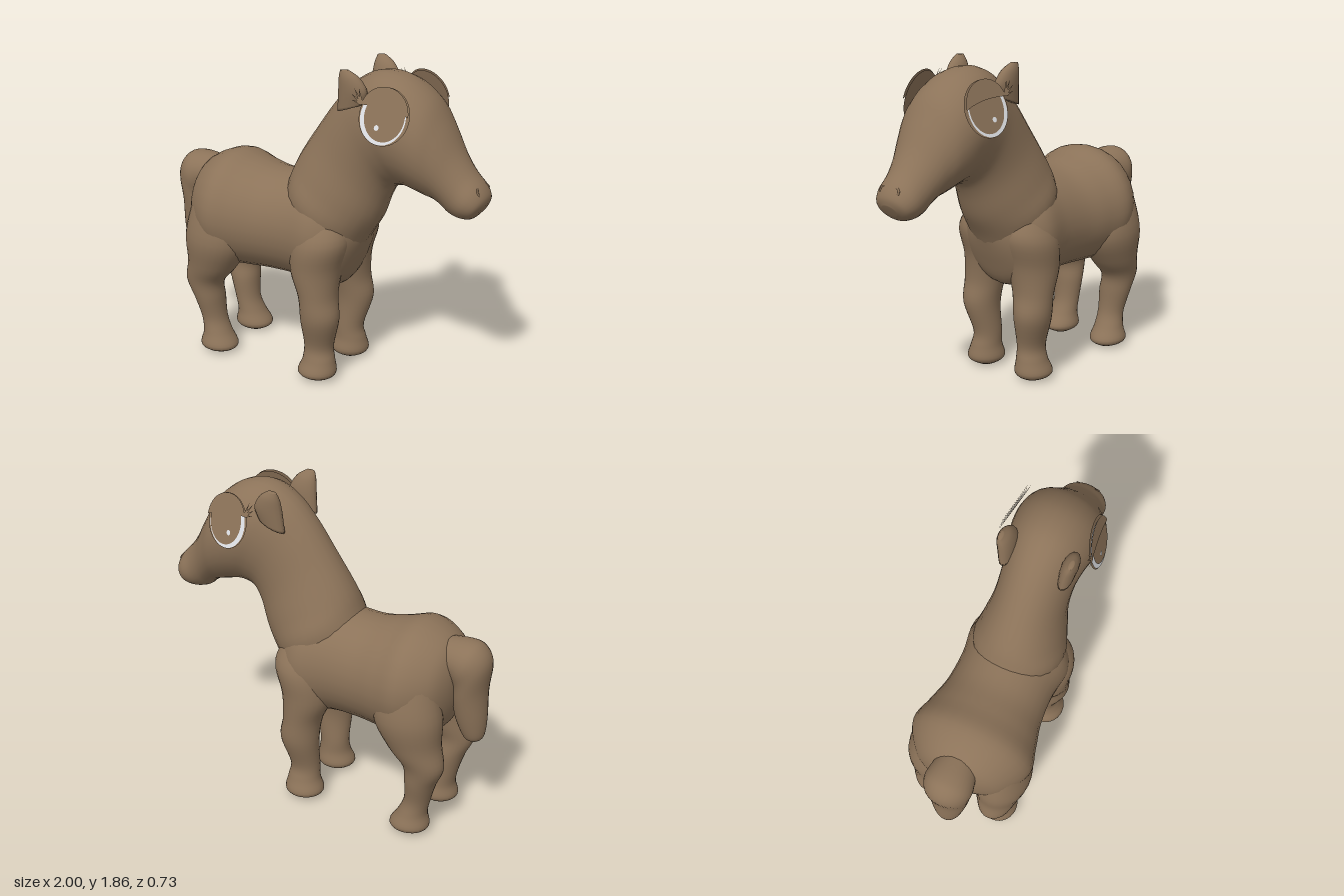
import * as THREE from 'three';

const mat = (name, color, side = THREE.FrontSide) => {
  const m = new THREE.MeshStandardMaterial({ color, side });
  m.name = name;
  return m;
};

// smooth interpolation through four values
const spline = (a, b, c, d, t) =>
  b + 0.5 * t * (c - a + t * (2 * a - 5 * b + 4 * c - d + t * (3 * (b - c) + d - a)));

// Skin over elliptical rings. Section: [ax, ay, bx, by, half width, centre z],
// where a and b are the two outline points of the ring in the side plane.
function loft(sections, side = 1, steps = 5, segs = 28) {
  const n = sections.length, rings = [];
  const at = i => sections[Math.min(n - 1, Math.max(0, i))];
  for (let k = 0; k <= (n - 1) * steps; k++) {
    const i = Math.min(n - 2, Math.floor(k / steps)), t = k / steps - i;
    rings.push([0, 1, 2, 3, 4, 5].map(c =>
      spline(at(i - 1)[c] || 0, at(i)[c] || 0, at(i + 1)[c] || 0, at(i + 2)[c] || 0, t)));
  }
  const pos = [], idx = [];
  rings.forEach(([ax, ay, bx, by, hz, cz]) => {
    const cx = (ax + bx) / 2, cy = (ay + by) / 2;
    for (let j = 0; j < segs; j++) {
      const u = Math.cos(j / segs * Math.PI * 2), w = Math.sin(j / segs * Math.PI * 2);
      pos.push(cx + (ax - cx) * u, cy + (ay - cy) * u, cz * side + Math.max(hz, 0.002) * w);
    }
  });
  for (let r = 0; r < rings.length - 1; r++) {
    for (let j = 0; j < segs; j++) {
      const a = r * segs + j, b = r * segs + (j + 1) % segs;
      idx.push(a, b, a + segs, b, b + segs, a + segs);
    }
  }
  // end caps
  [0, rings.length - 1].forEach((r, end) => {
    const [ax, ay, bx, by, , cz] = rings[r], c = pos.length / 3;
    pos.push((ax + bx) / 2, (ay + by) / 2, cz * side);
    for (let j = 0; j < segs; j++) {
      const a = r * segs + j, b = r * segs + (j + 1) % segs;
      idx.push(c, end ? a : b, end ? b : a);
    }
  });
  const g = new THREE.BufferGeometry();
  g.setAttribute('position', new THREE.Float32BufferAttribute(pos, 3));
  g.setIndex(idx);
  g.computeVertexNormals();
  return g;
}

// Flat shape laid on the slanted eye plane, raised by lift
function eyePlate(shape, lift, side) {
  const g = new THREE.ShapeGeometry(shape, 24), p = g.attributes.position;
  for (let i = 0; i < p.count; i++) {
    const x = p.getX(i), y = p.getY(i);
    p.setZ(i, side * (0.243 - 0.29 * (y - 1.66) - 0.15 * (x - 0.5) + lift));
  }
  if (side < 0) g.setIndex(Array.from(g.index.array).reverse());
  g.computeVertexNormals();
  return g;
}

const oval = (x, y, rx, ry) => new THREE.Shape().absellipse(x, y, rx, ry, 0, Math.PI * 2, false, 0);

export function createModel() {
  const group = new THREE.Group();
  const coat = mat('brown coat', 0x8c7359);
  const plate = mat('brown eye plate', 0x8c7359, THREE.DoubleSide);
  const white = mat('eye white', 0xe4e6ea, THREE.DoubleSide);
  const add = (name, geo, m = coat) => {
    const mesh = new THREE.Mesh(geo, m);
    mesh.name = name;
    group.add(mesh);
  };

  // barrel, from rump to chest
  add('torso', loft([
    [-0.84, 0.98, -0.84, 0.9, 0.03],
    [-0.82, 1.09, -0.82, 0.77, 0.15],
    [-0.75, 1.18, -0.76, 0.64, 0.27],
    [-0.6, 1.24, -0.61, 0.56, 0.36],
    [-0.45, 1.205, -0.46, 0.56, 0.33],
    [-0.3, 1.178, -0.3, 0.567, 0.293],
    [-0.12, 1.19, -0.12, 0.565, 0.285],
    [0.04, 1.2, 0.04, 0.54, 0.305],
    [0.15, 1.14, 0.15, 0.58, 0.26],
    [0.23, 1.04, 0.22, 0.72, 0.18],
    [0.275, 0.94, 0.27, 0.86, 0.05],
  ]));

  // neck bending into the head and muzzle
  add('neckAndHead', loft([
    [-0.27, 1.0, 0.2, 0.7, 0.2],
    [-0.2, 1.17, 0.275, 0.86, 0.265],
    [-0.145, 1.3, 0.36, 1.0, 0.24],
    [-0.03, 1.48, 0.415, 1.14, 0.205],
    [0.1, 1.66, 0.46, 1.21, 0.2],
    [0.22, 1.78, 0.52, 1.23, 0.215],
    [0.36, 1.845, 0.57, 1.228, 0.238],
    [0.52, 1.83, 0.62, 1.215, 0.243],
    [0.66, 1.74, 0.67, 1.2, 0.225],
    [0.75, 1.61, 0.72, 1.185, 0.19],
    [0.83, 1.47, 0.765, 1.155, 0.158],
    [0.9, 1.375, 0.8, 1.125, 0.142],
    [0.965, 1.305, 0.86, 1.11, 0.136],
    [0.995, 1.25, 0.92, 1.115, 0.105],
    [0.993, 1.205, 0.955, 1.145, 0.05],
  ]));

  // hanging tail, from tip to root
  add('tail', loft([
    [-0.95, 0.585, -0.9, 0.585, 0.025],
    [-0.98, 0.62, -0.865, 0.61, 0.06],
    [-0.99, 0.72, -0.815, 0.72, 0.09],
    [-0.985, 0.9, -0.8, 0.82, 0.115],
    [-0.998, 1.07, -0.8, 0.89, 0.13],
    [-0.945, 1.16, -0.8, 0.93, 0.14],
    [-0.86, 1.182, -0.77, 0.96, 0.13],
    [-0.72, 1.17, -0.72, 0.95, 0.11],
  ]));

  for (const side of [1, -1]) {
    const s = side > 0 ? 'Near' : 'Far';

    add('frontLeg' + s, loft([
      [0.0, 0.01, 0.11, 0.01, 0.05, 0.18],
      [-0.06, 0.05, 0.168, 0.05, 0.106, 0.185],
      [-0.035, 0.13, 0.158, 0.13, 0.088, 0.177],
      [-0.03, 0.22, 0.147, 0.22, 0.08, 0.17],
      [-0.035, 0.38, 0.193, 0.4, 0.105, 0.195],
      [-0.05, 0.53, 0.175, 0.54, 0.122, 0.185],
      [-0.11, 0.68, 0.19, 0.7, 0.15, 0.165],
      [-0.1, 0.85, 0.235, 0.88, 0.155, 0.16],
      [-0.03, 1.02, 0.17, 1.03, 0.08, 0.14],
    ], side));

    add('hindLeg' + s, loft([
      [-0.7, 0.01, -0.58, 0.01, 0.05, 0.18],
      [-0.755, 0.05, -0.525, 0.05, 0.106, 0.185],
      [-0.74, 0.13, -0.57, 0.13, 0.088, 0.18],
      [-0.755, 0.22, -0.605, 0.22, 0.08, 0.175],
      [-0.79, 0.34, -0.61, 0.35, 0.095, 0.185],
      [-0.838, 0.46, -0.6, 0.46, 0.1, 0.2],
      [-0.815, 0.6, -0.51, 0.57, 0.135, 0.2],
      [-0.815, 0.78, -0.42, 0.74, 0.16, 0.205],
      [-0.76, 1.0, -0.45, 0.95, 0.12, 0.2],
    ], side));

    add('ear' + s, loft([
      [0.18, 1.63, 0.34, 1.69, 0.04, 0.17],
      [0.19, 1.75, 0.36, 1.76, 0.045, 0.178],
      [0.198, 1.82, 0.32, 1.83, 0.035, 0.188],
      [0.21, 1.865, 0.26, 1.87, 0.012, 0.198],
    ], side, 5, 16));

    // eye: stacked plates from socket to eyelid
    add('eyeSocket' + s, eyePlate(oval(0.502, 1.665, 0.138, 0.147), 0, side), plate);
    add('eyeWhite' + s, eyePlate(oval(0.498, 1.66, 0.124, 0.137), 0.005, side), white);
    add('iris' + s, eyePlate(oval(0.508, 1.668, 0.11, 0.127), 0.01, side), plate);
    add('eyeHighlight' + s, eyePlate(oval(0.475, 1.61, 0.013, 0.014), 0.014, side), white);
    const lid = new THREE.Shape();
    lid.moveTo(0.355, 1.715);
    lid.quadraticCurveTo(0.52, 1.73, 0.638, 1.675);
    lid.bezierCurveTo(0.63, 1.84, 0.41, 1.87, 0.375, 1.72);
    add('eyelid' + s, eyePlate(lid, 0.016, side), plate);

    // lashes fanning from the rear corner of the lid
    for (const [x, y] of [[0.32, 1.735], [0.315, 1.765], [0.325, 1.795], [0.35, 1.8]]) {
      const lash = new THREE.Shape();
      lash.moveTo(x, y);
      lash.lineTo(0.372, 1.715);
      lash.lineTo(0.385, 1.728);
      add('eyelash' + s, eyePlate(lash, 0.018, side), plate);
    }

    // nostril rim
    const rim = new THREE.TorusGeometry(0.024, 0.006, 6, 14, Math.PI * 1.3);
    rim.rotateZ(-0.3).rotateY(Math.PI / 2).rotateZ(0.5);
    rim.translate(0.968, 1.278, side * 0.042);
    add('nostril' + s, rim);
  }
  return group;
}
